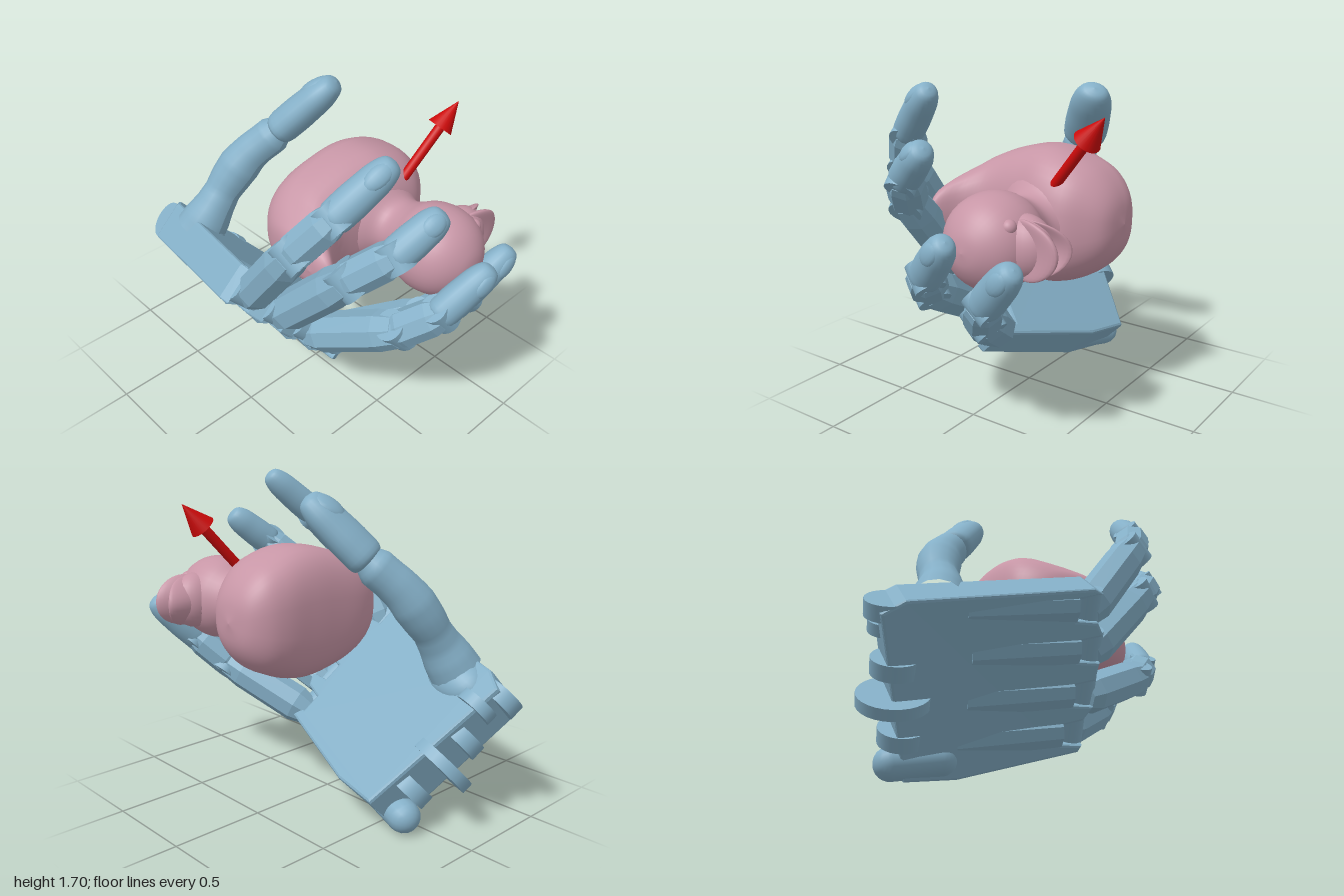
import * as THREE from 'three';

const V = (x, y, z) => new THREE.Vector3(x, y, z);
const material = (color, flatShading = false) => new THREE.MeshStandardMaterial({ color, flatShading });
const skin = material(0x85b0c8), skinFlat = material(0x85b0c8, true);
const pink = material(0xc796a6), red = material(0xcc0a0a);

function add(parent, name, geometry, mat, pos = [0, 0, 0], scale = [1, 1, 1], rot = [0, 0, 0]) {
  const m = new THREE.Mesh(geometry, mat);
  m.name = name;
  m.position.set(...pos);
  m.scale.set(...scale);
  m.rotation.set(...rot);
  parent.add(m);
  return m;
}

const lathe = (pts, sides) => new THREE.LatheGeometry(pts.map(p => new THREE.Vector2(...p)), sides);
const smoothProfile = (pts, n) => new THREE.SplineCurve(pts.map(p => new THREE.Vector2(...p)))
  .getPoints(n).map(p => [Math.max(p.x, 0), p.y]);

// Group whose y axis runs from a to b and whose z axis points to "out"
function boneFrame(name, a, b, out) {
  const y = b.clone().sub(a).normalize();
  const z = out.clone().addScaledVector(y, -out.dot(y)).normalize();
  const g = new THREE.Group();
  g.name = name;
  g.quaternion.setFromRotationMatrix(new THREE.Matrix4().makeBasis(y.clone().cross(z), y, z));
  g.position.copy(a);
  return g;
}

// Rounded last joint with a nail on its outer side
function fingertip(name, a, b, r, out, wide = 1) {
  const g = boneFrame(name, a, b, out), L = a.distanceTo(b);
  add(g, 'pad', lathe(smoothProfile([[0, -0.015], [r * 0.95, -0.01], [r * 1.08, L * 0.2], [r * 1.04, L * 0.5],
    [r * 0.94, L * 0.76], [r * 0.62, L * 0.95], [0, L]], 24), 20), skin, [0, 0, 0], [wide, 1, 0.94]);
  add(g, 'nail', new THREE.SphereGeometry(1, 16, 10), skin, [0, L * 0.74, r * 0.6],
    [r * 0.62 * wide, L * 0.22, r * 0.37], [-0.2, 0, 0]);
  return g;
}

// Two faceted phalanges, hinge pins and a fingertip
function finger(name, pts, r) {
  const g = new THREE.Group();
  g.name = name;
  const p = pts.map(q => V(...q));
  const out = p[1].clone().add(p[2]).multiplyScalar(0.5).sub(p[0].clone().lerp(p[3], 0.5));
  for (let i = 0; i < 2; i++) {
    const s = r * (1 - 0.1 * i), L = p[i].distanceTo(p[i + 1]);
    const bone = boneFrame(i ? 'middlePhalanx' : 'basePhalanx', p[i], p[i + 1], out);
    const body = lathe([[0, -0.03], [s * 0.9, -0.03], [s * 1.16, L * 0.1], [s * 1.14, L * 0.8],
      [s * 0.98, L], [0, L + 0.02]], 8);
    body.rotateY(Math.PI / 8);
    add(bone, 'shell', body, skinFlat, [0, 0, 0], [1, 1, 1.05]);
    add(bone, 'hingePin', new THREE.CylinderGeometry(s * 0.92, s * 0.92, s * 1.75, 18), skin, [0, L, 0], [1, 1, 1], [0, 0, Math.PI / 2]);
    g.add(bone);
  }
  g.add(fingertip('fingertip', p[2], p[3], r * 0.88, out));
  return g;
}

// Palm in its own frame: x across the hand, y out of the palm, z to the fingers
function palm() {
  const g = new THREE.Group();
  g.name = 'palm';
  const f = V(-0.24, 0.18, 0.95).normalize();
  const w = V(0.68, -0.69, 0.24);
  w.addScaledVector(f, -w.dot(f)).normalize();
  g.quaternion.setFromRotationMatrix(new THREE.Matrix4().makeBasis(w, f.clone().cross(w), f));
  g.position.set(-0.2, 0.5, -0.3);

  // Plate with a notch for every knuckle
  const knuckles = [[-0.35, 0.5], [-0.14, 0.53], [0.09, 0.52], [0.3, 0.48]];
  const s = new THREE.Shape();
  s.moveTo(-0.37, -0.54);
  s.lineTo(-0.42, -0.44);
  s.lineTo(-0.44, 0.47);
  for (const [u, v] of knuckles) {
    s.lineTo(u - 0.08, v);
    s.lineTo(u - 0.065, v - 0.12);
    s.lineTo(u + 0.065, v - 0.12);
    s.lineTo(u + 0.08, v);
  }
  s.lineTo(0.395, 0.47);
  s.lineTo(0.455, -0.17);
  s.lineTo(0.43, -0.42);
  const plate = new THREE.ExtrudeGeometry(s, { depth: 0.2, bevelSize: 0.015, bevelThickness: 0.015, bevelSegments: 2 });
  plate.translate(0, 0, -0.1).rotateX(Math.PI / 2);
  // Thicker to the wrist; the index side sits further to the front of the hand
  const pos = plate.attributes.position;
  for (let i = 0; i < pos.count; i++) {
    const x = pos.getX(i), k = 0.5 - pos.getZ(i), y = pos.getY(i) * (1 + 0.3 * k) - 0.045 * k;
    pos.setY(i, y * (y < 0 ? 0.74 + 0.42 * x : 1.1 - 0.3 * x));
  }
  plate.computeVertexNormals();
  add(g, 'palmPlate', plate, skinFlat);

  // Knuckle rolls and ridges along the back of the hand
  for (const [u, v] of knuckles) {
    add(g, 'knuckle', new THREE.CylinderGeometry(0.08, 0.08, 0.16, 20), skin, [u, 0.01 - 0.05 * u, v - 0.03], [1, 1, 1], [0, 0, Math.PI / 2]);
    add(g, 'backRidge', new THREE.CylinderGeometry(0.08, 0.09, 0.55, 8), skinFlat,
      [u, -0.03 - 0.07 * (u + 0.36), v - 0.38], [1, 1, 0.8], [Math.PI / 2, 0, 0]);
  }

  // Pads at the heel of the hand
  add(g, 'thumbPad', new THREE.SphereGeometry(1, 24, 16), skin, [-0.31, 0.08, -0.27], [0.13, 0.1, 0.19]);
  add(g, 'heelCorner', new THREE.CapsuleGeometry(0.085, 0.24, 6, 16), skin, [0.375, -0.1, -0.36], [1, 1, 1], [Math.PI / 2, 0, 0]);

  // Wrist hinge discs
  for (const [u, y, v, r, t] of [[-0.37, 0, -0.5, 0.11, 0.08], [-0.26, 0.06, -0.48, 0.1, 0.06],
    [-0.1, -0.03, -0.46, 0.12, 0.08], [0.06, -0.05, -0.47, 0.175, 0.06], [0.25, -0.05, -0.42, 0.12, 0.08]])
    add(g, 'wristDisc', new THREE.CylinderGeometry(r, r, t, 28), skin, [u, y, v], [1, 1, 1], [0, 0, Math.PI / 2]);
  return g;
}

// Thumb: a tube of changing thickness with a fingertip
function thumb() {
  const g = new THREE.Group();
  g.name = 'thumb';
  const path = new THREE.CatmullRomCurve3([V(-0.3, 0.75, -0.63), V(-0.23, 0.88, -0.59), V(-0.13, 1.03, -0.56),
    V(-0.03, 1.18, -0.5), V(0.07, 1.3, -0.41), V(0.16, 1.42, -0.32)]);
  const radii = [0.14, 0.13, 0.11, 0.1, 0.11, 0.115, 0.105, 0.1, 0.1, 0.06, 0];
  const rings = 40, sides = 16, tube = new THREE.TubeGeometry(path, rings, 1, sides);
  const pos = tube.attributes.position, v = V(0, 0, 0);
  for (let i = 0; i <= rings; i++) {
    const c = path.getPointAt(i / rings), t = i / rings * (radii.length - 1), k = Math.min(Math.floor(t), radii.length - 2);
    const r = THREE.MathUtils.lerp(radii[k], radii[k + 1], t - k);
    for (let j = 0; j <= sides; j++) {
      const n = i * (sides + 1) + j;
      v.fromBufferAttribute(pos, n).sub(c).multiplyScalar(r).add(c);
      pos.setXYZ(n, v.x, v.y, v.z);
    }
  }
  tube.computeVertexNormals();
  add(g, 'thumbBones', tube, skin);
  g.add(fingertip('thumbTip', V(0.1, 1.34, -0.38), V(0.29, 1.63, -0.155), 0.09, V(-0.2, 0.5, -0.6), 1.2));
  return g;
}

// Duck body: rounded sections from the raised tail to the breast, flatter underneath
function duckBody() {
  const sections = [[-0.345, 0, 0.32, 0.32], [-0.33, 0.09, 0.1, 0.4], [-0.29, 0.14, -0.04, 0.43], [-0.2, 0.21, -0.14, 0.33],
    [-0.1, 0.27, -0.17, 0.28], [0.1, 0.335, -0.175, 0.3], [0.25, 0.345, -0.175, 0.34], [0.4, 0.3, -0.17, 0.34],
    [0.5, 0.24, -0.14, 0.28], [0.575, 0.14, -0.07, 0.2], [0.605, 0, 0.06, 0.06]];
  const span = new THREE.CatmullRomCurve3(sections.map(s => V(s[0], s[2], s[3])));
  const width = new THREE.CatmullRomCurve3(sections.map(s => V(s[0], s[1], 0)));
  const rings = 50, sides = 36, p = [], idx = [];
  const power = (a, e) => Math.sign(a) * Math.pow(Math.abs(a), e);
  for (let i = 0; i <= rings; i++) {
    const c = span.getPoint(i / rings), h = width.getPoint(i / rings).y;
    for (let j = 0; j < sides; j++) {
      const a = j / sides * Math.PI * 2, up = Math.sin(a);
      p.push(c.x, 1.025 + h * power(Math.cos(a), 0.8), (c.y + c.z) / 2 + (c.z - c.y) / 2 * power(up, up < 0 ? 0.65 : 0.9));
      if (i < rings) {
        const q = i * sides + j, n = i * sides + (j + 1) % sides;
        idx.push(q, n, q + sides, n, n + sides, q + sides);
      }
    }
  }
  const geo = new THREE.BufferGeometry();
  geo.setAttribute('position', new THREE.Float32BufferAttribute(p, 3));
  geo.setIndex(idx);
  geo.computeVertexNormals();
  return geo;
}

// Flat half of the beak whose sides curl up towards the cheeks
function beakHalf(length, half, thick, curl) {
  const geo = new THREE.SphereGeometry(1, 28, 18).scale(length, half, thick);
  const pos = geo.attributes.position;
  for (let i = 0; i < pos.count; i++) pos.setZ(i, pos.getZ(i) + curl * (pos.getY(i) / half) ** 2);
  geo.computeVertexNormals();
  return geo;
}

function duck() {
  const g = new THREE.Group();
  g.name = 'duck';
  add(g, 'body', duckBody(), pink);
  const head = lathe(smoothProfile([[0.29, 0.2], [0.225, 0.28], [0.17, 0.34], [0.157, 0.39], [0.178, 0.45], [0.215, 0.52],
    [0.23, 0.61], [0.212, 0.71], [0.16, 0.785], [0.08, 0.835], [0, 0.85]], 40), 36);
  add(g, 'neckAndHead', head.rotateX(Math.PI / 2), pink, [0.24, 1.02, 0]);
  const ball = new THREE.SphereGeometry(1, 28, 18);
  add(g, 'beakRoot', ball, pink, [0.41, 1.025, 0.615], [0.145, 0.15, 0.115]);
  add(g, 'upperBeak', beakHalf(0.17, 0.14, 0.04, 0.04), pink, [0.46, 1.025, 0.63], [1, 1, 1], [0, -0.27, 0]);
  add(g, 'lowerBeak', beakHalf(0.17, 0.135, 0.035, 0.08), pink, [0.452, 1.025, 0.56], [1, 1, 1], [0, 0.03, 0]);
  for (const side of [-1, 1])
    add(g, 'eye', ball, pink, [0.393, 1.025 + side * 0.107, 0.708], [0.036, 0.036, 0.036]);
  return g;
}

// Arrow leaving the duck
function arrow() {
  const a = V(0.28, 1.15, 0.265), b = V(0.648, 1.583, 0.35), L = a.distanceTo(b);
  const g = boneFrame('arrow', a, b, V(0, 0, 1));
  add(g, 'arrowShaft', new THREE.CylinderGeometry(0.026, 0.026, L - 0.15, 20), red, [0, (L - 0.15) / 2, 0]);
  add(g, 'arrowHead', new THREE.ConeGeometry(0.068, 0.16, 24), red, [0, L - 0.08, 0]);
  return g;
}

export function createModel() {
  const model = new THREE.Group();
  model.name = 'handHoldingDuck';
  model.add(palm(), thumb(), duck(), arrow());
  model.add(
    finger('indexFinger', [[-0.5, 0.83, 0.08], [-0.5, 1.25, 0.38], [-0.37, 1.44, 0.5], [-0.12, 1.68, 0.62]], 0.088),
    finger('middleFinger', [[-0.38, 0.68, 0.17], [-0.33, 1.11, 0.56], [-0.2, 1.27, 0.72], [0.01, 1.45, 0.81]], 0.09),
    finger('ringFinger', [[-0.23, 0.5, 0.24], [-0.1, 0.74, 0.69], [0.02, 0.87, 0.84], [0.24, 1.1, 0.95]], 0.09),
    finger('littleFinger', [[-0.04, 0.38, 0.24], [0.18, 0.62, 0.63], [0.3, 0.77, 0.77], [0.53, 1.01, 0.86]], 0.09));
  return model;
}
